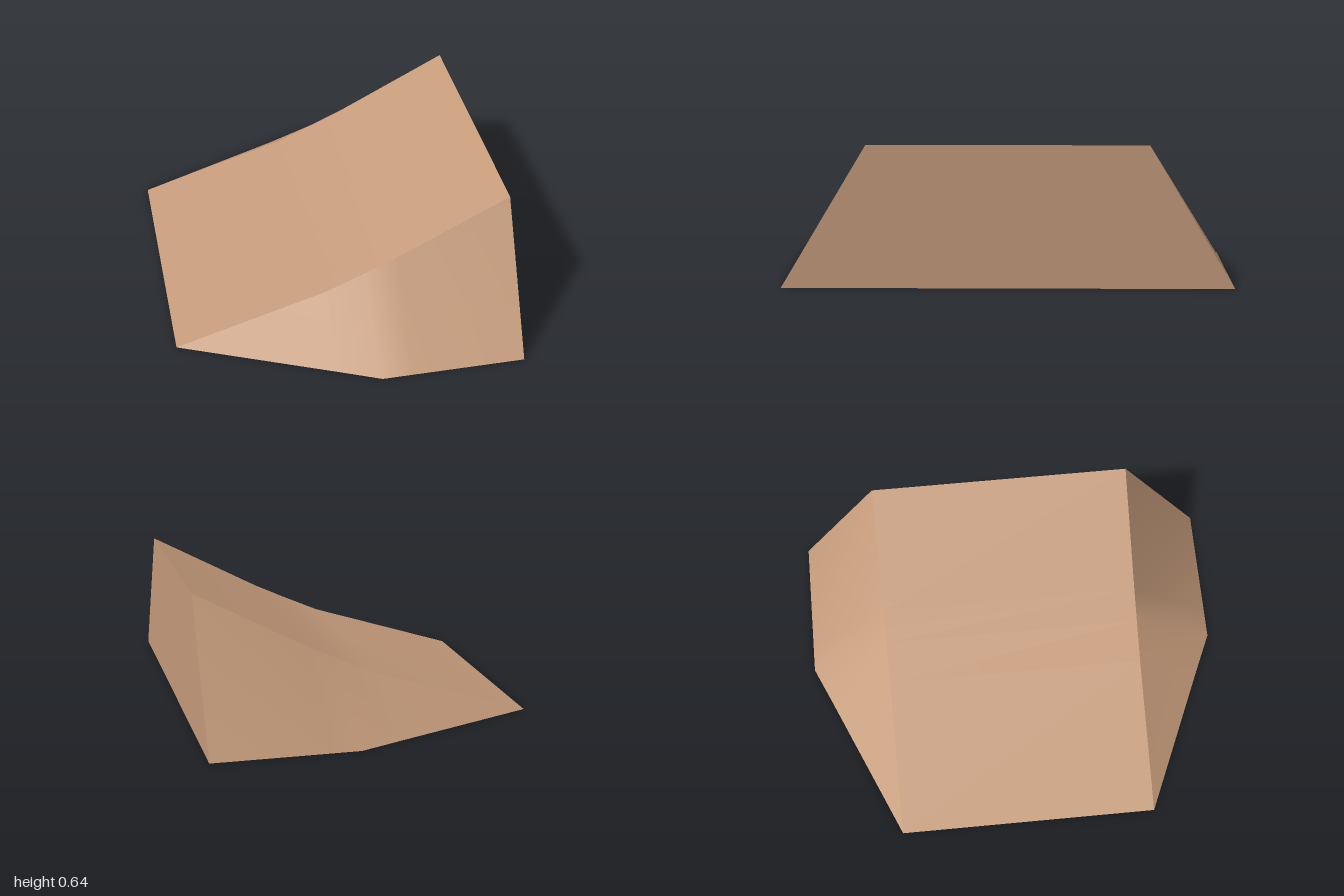
import * as THREE from 'three';

// Cross-section stations from toe to tall end: [x, ridge height, half-width at ground]
const STATIONS = [
  [-0.77, 0, 0.615],
  [-0.07, 0.22, 0.92],
  [0.11, 0.3, 1],
  [0.25, 0.365, 1],
  [0.77, 0.64, 1],
];
const DECK = 0.615; // half-width of the sloping deck

const ridge = (side) => STATIONS.map(([x, y]) => [x, y, side * DECK]);
const foot = (side) => STATIONS.map(([x, , w]) => [x, 0, side * w]);

// Surface stretched between an upper row and a lower row of points
function strip(name, upper, lower, material) {
  const n = upper.length;
  const index = [];
  for (let i = 0; i < n - 1; i++) {
    index.push(i, n + i + 1, i + 1);
    // skip the sliver where both rows meet at the toe
    if (upper[i].some((v, k) => v !== lower[i][k])) index.push(i, n + i, n + i + 1);
  }
  const geometry = new THREE.BufferGeometry();
  geometry.setAttribute('position', new THREE.Float32BufferAttribute([...upper, ...lower].flat(), 3));
  geometry.setIndex(index);
  geometry.computeVertexNormals();
  const mesh = new THREE.Mesh(geometry, material);
  mesh.name = name;
  return mesh;
}

export function createModel() {
  const tan = new THREE.MeshStandardMaterial({ color: 0xc49a7a });
  tan.name = 'tan';

  const ramp = new THREE.Group();
  ramp.name = 'ramp';
  const end = (row) => row[row.length - 1];

  ramp.add(
    strip('deck', ridge(-1), ridge(1), tan),
    strip('frontSlope', ridge(1), foot(1), tan),
    strip('backSlope', foot(-1), ridge(-1), tan),
    strip('base', foot(1), foot(-1), tan),
    // upright wall at the tall end
    strip('endWall', [end(ridge(1)), end(ridge(-1))], [end(foot(1)), end(foot(-1))], tan),
  );
  return ramp;
}
